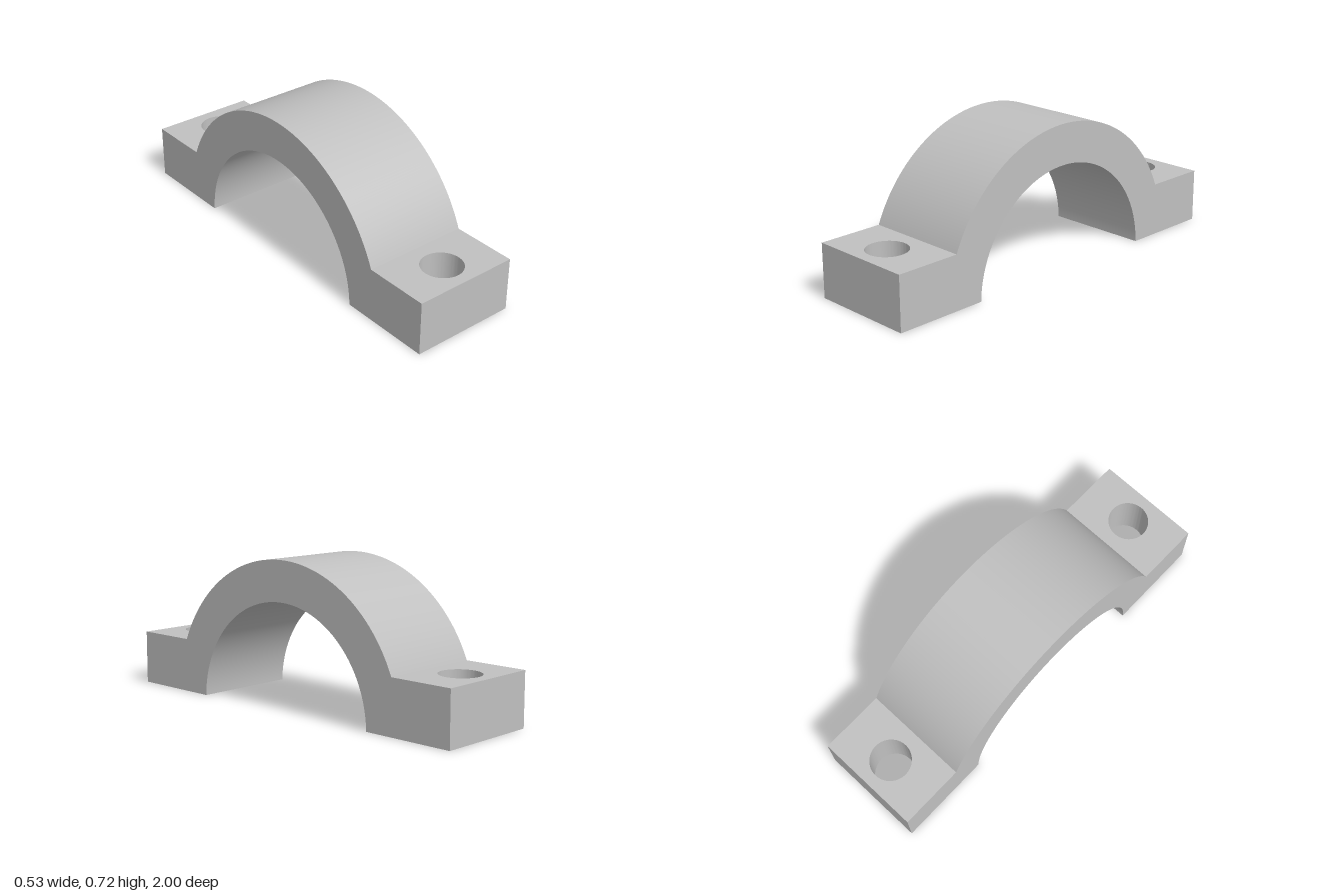
import * as THREE from 'three';
import { toCreasedNormals } from 'three/addons/utils/BufferGeometryUtils.js';

const HALF_WIDTH = 0.265; // along x
const EAR_HEIGHT = 0.266;
const CENTRE_Y = -0.015; // arc centre sits just below the split plane
const INNER_R = 0.535;
const OUTER_R = 0.733;
const HOLE_R = 0.1;
const HOLE_Z = 0.845;

// Where the outer arc meets the top of the ears
const outerAngle = Math.asin((EAR_HEIGHT - CENTRE_Y) / OUTER_R);
const innerAngle = Math.asin(-CENTRE_Y / INNER_R);
const SEAM = OUTER_R * Math.cos(outerAngle);

// Removes the hidden walls where arch and ears join, then smooths the curves
function finish(geometry) {
  const geo = geometry.index ? geometry.toNonIndexed() : geometry;
  const p = geo.attributes.position;
  const kept = [];
  for (let i = 0; i < p.count; i += 3) {
    const onSeam = [i, i + 1, i + 2].every((k) => Math.abs(Math.abs(p.getZ(k)) - SEAM) < 1e-4);
    if (onSeam) continue;
    for (let k = i; k < i + 3; k++) kept.push(p.getX(k), p.getY(k), p.getZ(k));
  }
  const result = new THREE.BufferGeometry();
  result.setAttribute('position', new THREE.Float32BufferAttribute(kept, 3));
  result.computeVertexNormals();
  return toCreasedNormals(result, 0.5);
}

// Half-ring profile with its feet, extruded across the width
function archGeometry() {
  const s = new THREE.Shape();
  s.absarc(0, CENTRE_Y, OUTER_R, outerAngle, Math.PI - outerAngle, false);
  s.lineTo(-SEAM, 0);
  s.absarc(0, CENTRE_Y, INNER_R, Math.PI - innerAngle, innerAngle, true);
  s.lineTo(SEAM, 0);
  const geo = new THREE.ExtrudeGeometry(s, { depth: 2 * HALF_WIDTH, bevelEnabled: false, curveSegments: 64 });
  geo.translate(0, 0, -HALF_WIDTH);
  geo.rotateY(Math.PI / 2);
  return finish(geo);
}

// Bolt ear with a vertical through hole, at the back (-z)
function earGeometry() {
  const s = new THREE.Shape();
  s.moveTo(-HALF_WIDTH, SEAM);
  s.lineTo(HALF_WIDTH, SEAM);
  s.lineTo(HALF_WIDTH, 1);
  s.lineTo(-HALF_WIDTH, 1);
  s.holes.push(new THREE.Path().absarc(0, HOLE_Z, HOLE_R, 0, Math.PI * 2, true));
  const geo = new THREE.ExtrudeGeometry(s, { depth: EAR_HEIGHT, bevelEnabled: false, curveSegments: 48 });
  geo.rotateX(-Math.PI / 2);
  return finish(geo);
}

export function createModel() {
  const group = new THREE.Group();
  group.name = 'pipeClamp';
  const steel = new THREE.MeshStandardMaterial({ color: 0xc0c0c0 });
  steel.name = 'steelGrey';

  const arch = new THREE.Mesh(archGeometry(), steel);
  arch.name = 'arch';
  group.add(arch);

  const ear = earGeometry();
  for (const [name, turn] of [['backEar', 0], ['frontEar', Math.PI]]) {
    const mesh = new THREE.Mesh(ear, steel);
    mesh.name = name;
    mesh.rotation.y = turn;
    group.add(mesh);
  }
  return group;
}
